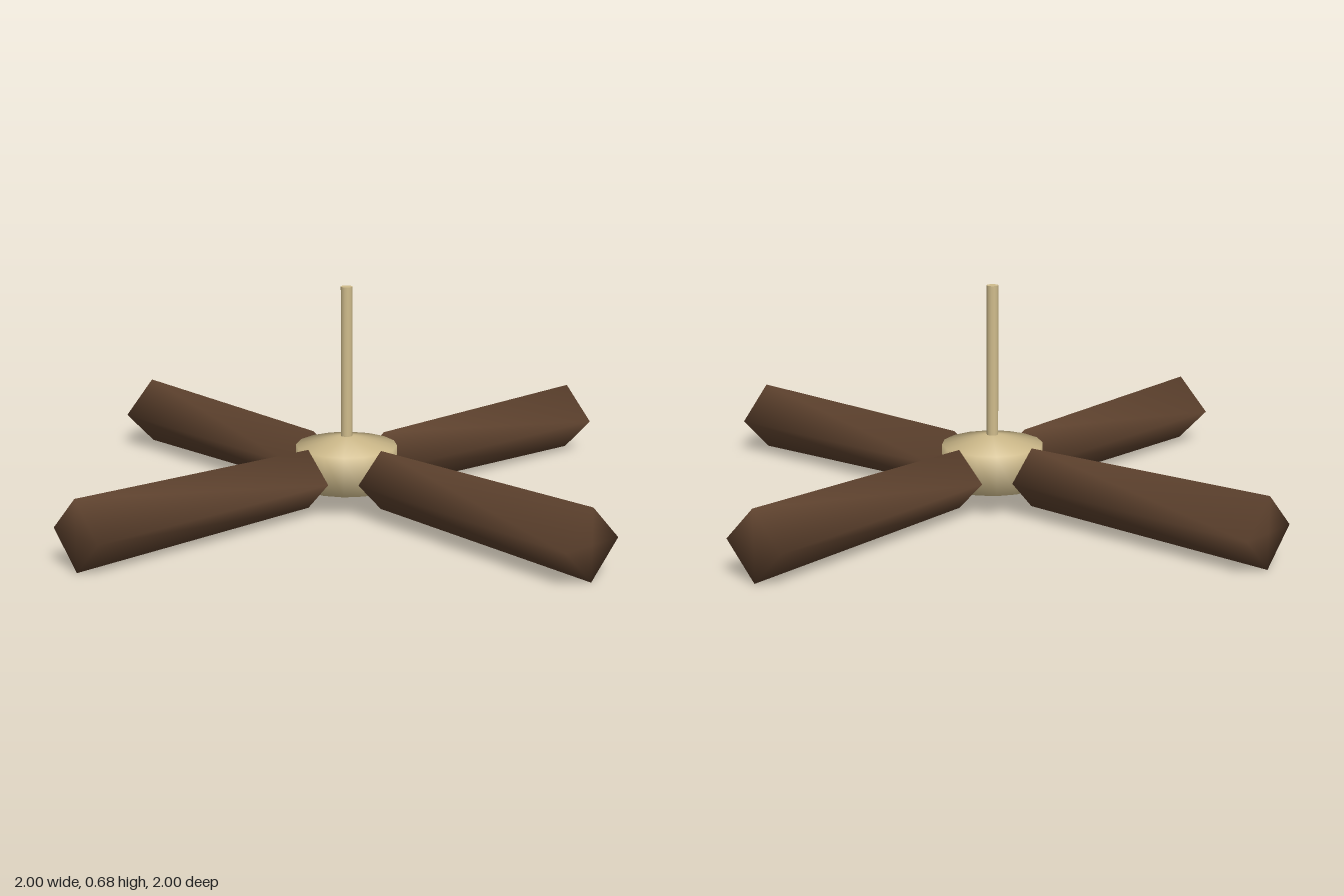
import * as THREE from 'three';
import { mergeVertices } from 'three/addons/utils/BufferGeometryUtils.js';

// Weld shared corners so shading flows softly over the low-poly form
function soften(geometry) {
  geometry.deleteAttribute('uv');
  geometry.deleteAttribute('normal');
  const welded = mergeVertices(geometry, 1e-4);
  welded.computeVertexNormals();
  return welded;
}

export function createModel() {
  const group = new THREE.Group();
  const brass = new THREE.MeshStandardMaterial({ color: 0xd0bc8c });
  brass.name = 'pale brass';
  const wood = new THREE.MeshStandardMaterial({ color: 0x5e422e });
  wood.name = 'dark wood';

  const add = (name, geometry, material) => {
    const mesh = new THREE.Mesh(geometry, material);
    mesh.name = name;
    group.add(mesh);
    return mesh;
  };

  // Motor housing: short drum with shallow conical ends
  const profile = [[0, 0.038], [0.155, 0.065], [0.155, 0.187], [0, 0.22]]
    .map(([r, y]) => new THREE.Vector2(r, y));
  add('motorHousing', soften(new THREE.LatheGeometry(profile, 16)), brass);

  // Hanging rod
  const rod = add('hangingRod', new THREE.CylinderGeometry(0.018, 0.018, 0.48, 12), brass);
  rod.position.y = 0.44;

  // Four diamond-section blades, widening towards the tips
  const blade = new THREE.CylinderGeometry(0.107, 0.091, 0.845, 4);
  blade.rotateZ(-Math.PI / 2);
  blade.translate(0.5775, 0.108, 0);
  const bladeGeometry = soften(blade);
  for (let i = 0; i < 4; i++) {
    add(`blade${i + 1}`, bladeGeometry, wood).rotation.y = i * Math.PI / 2;
  }

  return group;
}
